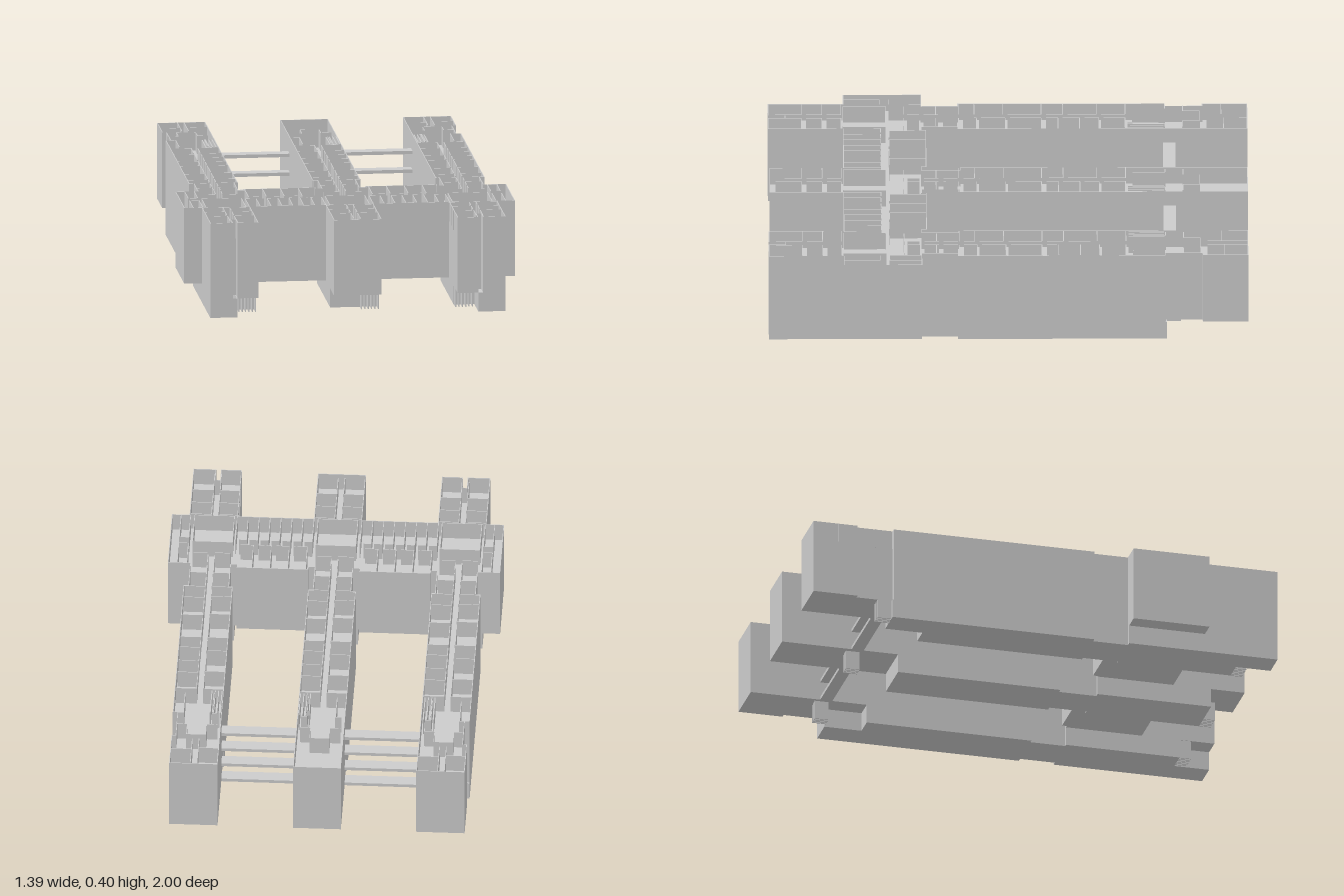
import * as THREE from 'three';

const LOW = 0.081, STOREY = 0.08, TOP = 0.403, FLOOR = 0.321, T = 0.003;
const material = new THREE.MeshStandardMaterial({ color: 0xcccccc, flatShading: true });

// Offset a rectilinear [x, z] outline inwards by t
function inset(pts, t) {
  const n = pts.length;
  let area = 0;
  pts.forEach(([x, z], i) => {
    const [x2, z2] = pts[(i + 1) % n];
    area += x * z2 - x2 * z;
  });
  const s = Math.sign(area) * t;
  const normal = (a, b) => [-Math.sign(b[1] - a[1]) * s, Math.sign(b[0] - a[0]) * s];
  return pts.map((p, i) => {
    const a = normal(pts[(i + n - 1) % n], p), b = normal(p, pts[(i + 1) % n]);
    return [p[0] + a[0] + b[0], p[1] + a[1] + b[1]];
  });
}

// Vertical prism over an [x, z] outline, optionally hollow
function prism(name, pts, y0, y1, hole) {
  const toV = (l) => l.map(([x, z]) => new THREE.Vector2(x, -z));
  const shape = new THREE.Shape(toV(pts));
  // The hole winds against the outline so its walls face inwards
  if (hole) shape.holes.push(new THREE.Path(toV(hole).reverse()));
  const geo = new THREE.ExtrudeGeometry(shape, { depth: y1 - y0, bevelEnabled: false });
  geo.rotateX(-Math.PI / 2).translate(0, y0, 0);
  const mesh = new THREE.Mesh(geo, material);
  mesh.name = name;
  return mesh;
}

function box(name, x0, x1, y0, y1, z0, z1) {
  const geo = new THREE.BoxGeometry(Math.abs(x1 - x0), y1 - y0, Math.abs(z1 - z0));
  geo.translate((x0 + x1) / 2, (y0 + y1) / 2, (z0 + z1) / 2);
  const mesh = new THREE.Mesh(geo, material);
  mesh.name = name;
  return mesh;
}

const mirror = (pts) => pts.map(([x, z]) => [-x, z]).reverse();

export function createModel() {
  const model = new THREE.Group();
  model.name = 'building';

  // Upper storeys: three wings joined by a cross block
  const half = [
    [0.1, -1], [0.1, 0.2], [0.08, 0.2], [0.08, 0.36], [0.105, 0.36], [0.105, 0.34],
    [0.405, 0.34], [0.405, 0.36], [0.43, 0.36], [0.43, 0.21],
    [0.415, 0.21], [0.415, -1], [0.617, -1], [0.617, -0.81], [0.6, -0.81], [0.6, -0.655],
    [0.62, -0.655], [0.62, 0.21], [0.6, 0.21], [0.6, 0.36], [0.694, 0.36], [0.694, 0.687],
    [0.62, 0.687], [0.62, 1], [0.525, 1], [0.525, 0.93], [0.505, 0.93], [0.505, 1],
    [0.418, 1], [0.418, 0.687], [0.1, 0.687], [0.1, 0.995],
  ];
  const upper = [...half, ...mirror(half)];
  const upperIn = inset(upper, T);
  model.add(prism('upperOuterWalls', upper, LOW, TOP, upperIn));
  for (let i = 0; i < 4; i++) {
    const y = LOW + i * STOREY;
    model.add(prism('upperFloor', upperIn, y, y + 0.004));
  }

  // Ground storey under each wing
  const side = [
    [0.62, -0.66], [0.62, 0.21], [0.6, 0.21], [0.6, 0.36], [0.62, 0.36], [0.62, 1],
    [0.505, 1], [0.505, 0.85], [0.418, 0.85], [0.418, 0.36], [0.43, 0.36], [0.43, 0.21],
    [0.415, 0.21], [0.415, -0.5], [0.5, -0.5], [0.5, -0.66],
  ];
  const midHalf = [[0.1, -0.5], [0.1, 0.2], [0.08, 0.2], [0.08, 0.36], [0.1, 0.36], [0.1, 0.85]];
  for (const pts of [side, mirror(side), [...midHalf, ...mirror(midHalf)]]) {
    const inner = inset(pts, T);
    model.add(prism('groundOuterWalls', pts, 0, LOW, inner));
    model.add(prism('groundFloor', inner, 0, 0.004));
  }

  // Bridges between the wings, one on each level
  for (const s of [-1, 1]) {
    for (let i = 0; i < 4; i++) {
      const y = LOW + i * STOREY;
      model.add(box('bridge', s * 0.1, s * 0.415, y, y + 0.014, -0.7, -0.648));
    }
  }

  // Top storey partitions
  const rooms = new THREE.Group();
  rooms.name = 'roomPartitions';
  model.add(rooms);
  const w = 0.0015;
  const alongZ = (x, z0, z1) => rooms.add(box('partition', x - w, x + w, FLOOR, TOP, z0, z1));
  const alongX = (z, x0, x1) => rooms.add(box('partition', x0, x1, FLOOR, TOP, z - w, z + w));

  // Run of room walls along a corridor, leaving a door in each bay
  const corridorSide = (x, stops) => {
    for (let i = 0; i + 1 < stops.length; i++) alongZ(x, stops[i], stops[i + 1] - 0.02);
  };
  const wings = [
    { c: -0.518, out: 0.1 },
    { c: 0, out: 0.098 },
    { c: 0.515, out: 0.1 },
  ];
  const leftStops = [-0.49, -0.37, -0.23, -0.14, 0.02, 0.14, 0.205];
  const rightStops = [-0.49, -0.38, -0.3, -0.21, -0.14, 0.01, 0.13, 0.205];
  const frontStops = [0.695, 0.775, 0.86, 0.99];
  for (const { c, out } of wings) {
    for (const [s, stops] of [[-1, leftStops], [1, rightStops]]) {
      const x = c + s * 0.014, edge = c + s * out;
      for (const list of [stops, frontStops]) {
        corridorSide(x, list);
        list.slice(0, -1).forEach((z) => alongX(z, x, edge));
      }
      // Narrow link between wing and cross block
      alongX(0.205, x, edge);
      corridorSide(x, [0.21, 0.29, 0.37, 0.44]);
      alongX(0.3, x, c + s * 0.08);
      alongX(0.435, x, c + s * 0.08);
      // Lobby at the rear
      alongX(-0.655, c + s * 0.06, c + s * 0.085);
      alongZ(c + s * 0.06, -0.655, -0.52);
      alongX(-0.8, c + s * 0.04, c);
      alongZ(c + s * 0.04, -0.8, -0.73);
      alongX(-0.73, c + s * 0.04, c + s * 0.085);
      // Hall where the wing meets the cross block
      alongZ(c + s * 0.083, 0.51, 0.687);
    }
    alongX(0.51, c - 0.083, c + 0.083);
    alongX(0.687, c - 0.083, c + 0.083);
    if (c) {
      // Rooms at the rear end of the outer wings
      alongX(-0.89, c - 0.1, c - 0.014);
      alongX(-0.9, c + 0.014, c + 0.1);
      for (const s of [-1, 1]) alongZ(c + s * 0.014, -0.998, -0.83);
    }
  }

  // Cross block: small cells in front, larger rooms behind the corridor
  for (const [x0, x1] of [[-0.42, -0.1], [0.1, 0.42]]) {
    const n = 7, step = (x1 - x0) / n;
    for (let i = 0; i <= n; i++) {
      alongZ(x0 + i * step, 0.53, 0.685);
      if (i < n) alongX(0.53, x0 + i * step, x0 + (i + 0.7) * step);
    }
    for (let i = 0; i < 4; i++) {
      const x = x0 + 0.018 + (i * (x1 - x0 - 0.02)) / 4;
      alongZ(x, 0.342, 0.495);
      alongX(0.495, x, x + 0.055);
    }
  }
  for (const s of [-1, 1]) {
    for (const x of [0.615, 0.655]) {
      alongZ(s * x, 0.535, 0.685);
      alongZ(s * x, 0.362, 0.495);
    }
    for (const z of [0.495, 0.535]) alongX(z, s * 0.635 - 0.02, s * 0.635 + 0.02);
  }

  // Stair shafts made of close parallel walls
  const stair = (name, x0, count, step, y0, y1, z0, z1) => {
    for (let i = 0; i < count; i++) {
      const x = x0 + i * step;
      model.add(box(name, x, x + 0.004, y0, y1, z0, z1));
    }
  };
  for (const x of [-0.47, 0.05, 0.42]) stair('stairWall', x, 4, 0.014, FLOOR, TOP, -0.65, -0.5);
  for (const x of [-0.49, 0.025, 0.42]) stair('frontStairWall', x, 6, 0.014, 0, LOW, 0.85, 0.9);
  for (const x of [-0.6, -0.08, 0.43]) stair('rearStairWall', x, 4, 0.014, 0, LOW, -0.72, -0.66);

  return model;
}
